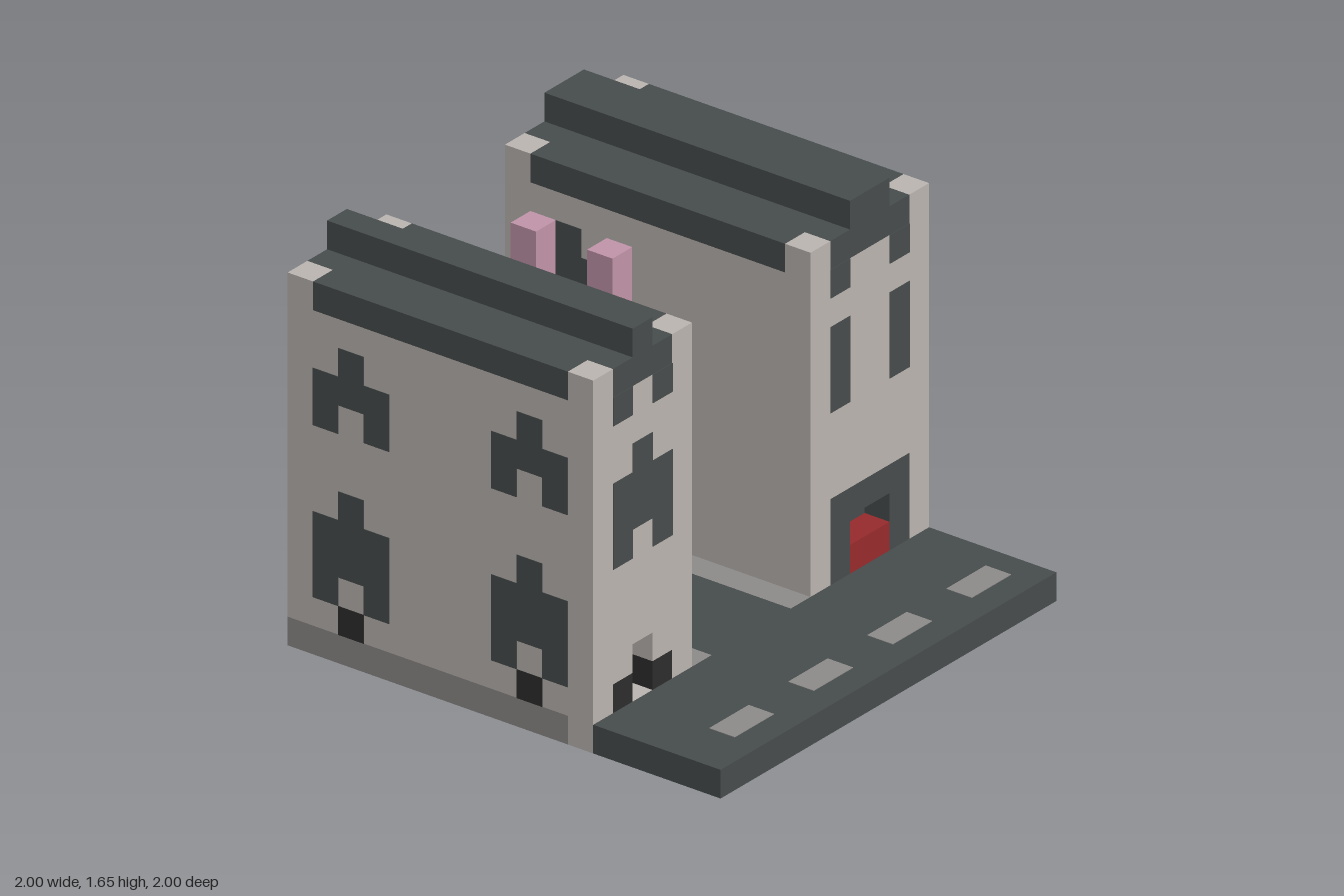
import * as THREE from 'three';
import { mergeGeometries } from 'three/addons/utils/BufferGeometryUtils.js';

// The model sits on a grid of blocks: 17 wide, 14 high, 17 deep
const U = 2 / 17;
const T = 0.02; // thickness of painted plates, in blocks

function makeMaterial(name, color) {
  const m = new THREE.MeshStandardMaterial({ color });
  m.name = name;
  return m;
}

export function createModel() {
  const root = new THREE.Group();
  root.name = 'twinTowerBuilding';
  const stone = makeMaterial('stone', 0xbab4b0);
  const slate = makeMaterial('slate', 0x464b4b);
  const pavement = makeMaterial('pavement', 0x8b8a88);
  const pink = makeMaterial('pink', 0xc093a8);
  const brown = makeMaterial('brown', 0x6f4e34);
  const red = makeMaterial('red', 0x962a2c);
  const black = makeMaterial('black', 0x2c2c2c);

  // Box from corner to corner in block units
  const box = ([x0, y0, z0, x1, y1, z1]) =>
    new THREE.BoxGeometry((x1 - x0) * U, (y1 - y0) * U, (z1 - z0) * U)
      .translate((x0 + x1) / 2 * U - 1, (y0 + y1) / 2 * U, (z0 + z1) / 2 * U - 1);

  function add(name, material, geometry) {
    const mesh = new THREE.Mesh(geometry, material);
    mesh.name = name;
    root.add(mesh);
  }
  const part = (name, material, ...boxes) => add(name, material, mergeGeometries(boxes.map(box)));

  // Upright slab with a stepped outline, from depth z0 to z1
  function slab(name, material, points, z0, z1) {
    const shape = new THREE.Shape(points.map(([x, y]) => new THREE.Vector2(x * U - 1, y * U)));
    const g = new THREE.ExtrudeGeometry(shape, { depth: (z1 - z0) * U, bevelEnabled: false });
    add(name, material, g.translate(0, 0, z0 * U - 1));
  }

  // Thin painted rectangles [a0, b0, a1, b1] on a wall; dir is the outward sign
  function paint(name, material, axis, plane, dir, rects) {
    const p0 = Math.min(plane, plane + dir * T), p1 = Math.max(plane, plane + dir * T);
    part(name, material, ...rects.map(([a0, b0, a1, b1]) =>
      axis === 'x' ? [p0, b0, a0, p1, b1, a1] : [a0, b0, p0, a1, b1, p1]));
  }
  // Stepped window: head on top, wide body, two legs
  const legged = (a, w, y, h) => [
    [a + 1, y + h + 1, a + w - 1, y + h + 2], [a, y + 1, a + w, y + h + 1],
    [a, y, a + 1, y + 1], [a + w - 1, y, a + w, y + 1]];
  // Cross-shaped window
  const cross = (a, w, y, h) => [
    [a + 1, y + h + 1, a + w - 1, y + h + 2], [a, y + 1, a + w, y + h + 1],
    [a + 1, y, a + w - 1, y + 1]];

  // Road with dashes, and courtyard paving
  part('road', slate, [0, 0, 12, 17, 1, 17], [6, 0, 7, 10, 1, 12]);
  for (const x of [2, 6, 10, 14]) {
    part('roadDash', pavement, [x, 1, 15, x + 2, 1 + T, 16], [x, -T, 15, x + 2, 0, 16]);
  }
  part('foundation', pavement, [0, 0, 0, 17, 1, 7], [0, 0, 7, 6, 1, 11], [10, 0, 7, 17, 1, 11],
    [5, 0, 11, 6, 1, 12], [10, 0, 11, 11, 1, 12]);
  part('towerFrontFooting', stone, [0, 0, 11, 5, 1, 12], [11, 0, 11, 17, 1, 12]);
  part('underside', stone, [1, -T, 1, 16, 0, 6], [1, -T, 6, 5, 0, 11], [11, -T, 6, 16, 0, 11]);

  // Towers: body, stepped roof, corner stones and side windows
  for (const [x0, x1] of [[0, 5], [11, 17]]) {
    part('towerBody', stone, [x0, 1, 0, x1, 12, 11]);
    part('towerRoof', slate, [x0 + 1, 12, 0, x1 - 1, 13, 12],
      [x0, 12, 1, x0 + 1, 13, 11], [x1 - 1, 12, 1, x1, 13, 11]);
    part('roofRidge', slate, [x0 + 2, 13, 0, x1 - 2, 14, 12]);
    for (const x of [x0, x1 - 1]) for (const z of [0, 11]) {
      part('cornerStone', stone, [x, 12, z, x + 1, 13, z + 1]);
    }
    const eaves = [[x0 + 1, 11, x0 + 2, 12], [x1 - 2, 11, x1 - 1, 12]];
    paint('frontEaves', slate, 'z', 12, 1, eaves);
    paint('backEaves', slate, 'z', 0, -1, eaves);
    const left = x0 > 0;
    const outer = left ? 17 : 0, dir = left ? 1 : -1;
    for (const z of [1, 8]) {
      paint('upperSideWindow', slate, 'x', outer, dir, legged(z, 3, 8, 1));
      paint('lowerSideWindow', slate, 'x', outer, dir, legged(z, 3, 2, 2));
      if (!left) paint('sideVent', black, 'x', outer, dir, [[z + 1, 1, z + 2, 2]]);
    }
    paint('terraceWindow', slate, 'x', left ? 11 : 5, -dir, legged(1, 3, 8, 1));
    paint('upperBackWindow', slate, 'z', 0, -1, legged(x0 + 1, x1 - x0 - 2, 8, 1));
  }
  paint('lowerBackWindow', slate, 'z', 0, -1, cross(12, 4, 2, 3));
  paint('lowerBackWindow', slate, 'z', 0, -1, legged(1, 3, 2, 3));
  paint('backVent', black, 'z', 0, -1, [[2, 1, 3, 2]]);

  // Right tower front: recessed red door between black blocks
  slab('rightTowerFront', stone, [[0, 1], [1, 1], [1, 2], [2, 2], [2, 3], [3, 3], [3, 2],
    [4, 2], [4, 1], [5, 1], [5, 12], [0, 12]], 11, 12);
  part('rightDoorJambs', black, [1, 1, 11, 2, 2, 12], [3, 1, 11, 4, 2, 12]);
  paint('rightDoor', red, 'z', 11, 1, [[2, 1, 3, 2]]);
  paint('rightFrontWindow', slate, 'z', 12, 1, legged(1, 3, 6, 2));

  // Left tower front: dark doorway with a red block in it
  slab('leftTowerFront', stone, [[11, 1], [12, 1], [12, 4], [16, 4], [16, 1], [17, 1],
    [17, 12], [11, 12]], 11, 12);
  slab('leftDoorFrame', slate, [[12, 1], [13, 1], [13, 3], [15, 3], [15, 1], [16, 1],
    [16, 4], [12, 4]], 11, 12);
  paint('leftDoorRecess', slate, 'z', 11, 1, [[13, 2, 15, 3]]);
  part('leftDoor', red, [13, 1, 11, 15, 2, 12]);
  paint('leftFrontWindows', slate, 'z', 12, 1, [[12, 7, 13, 10], [15, 7, 16, 10]]);

  // Middle building with a terrace, parapets and a ledge
  part('middleBody', stone, [5, 1, 0, 11, 8, 6]);
  part('backParapet', stone, [5, 8, 0, 11, 9, 1]);
  part('frontParapet', stone, [5, 8, 5, 11, 9, 6]);
  part('frontLedge', stone, [5, 7, 6, 11, 8, 7]);
  for (const [z, dir] of [[6, 1], [0, -1]]) {
    paint('middleWindow', slate, 'z', z, dir, cross(6, 4, 3, 2));
    paint('middleVent', black, 'z', z, dir, [[5, 1, 11, 2]]);
  }

  // Blossom pillars on the terrace and beside the entrance
  for (const x of [5, 10]) for (const [y, z] of [[8, 1], [8, 4], [1, 6]]) {
    part('pillarFoot', brown, [x, y, z, x + 1, y + 1, z + 1]);
    part('pillarTop', pink, [x, y + 1, z, x + 1, y + 3, z + 1]);
  }
  return root;
}
